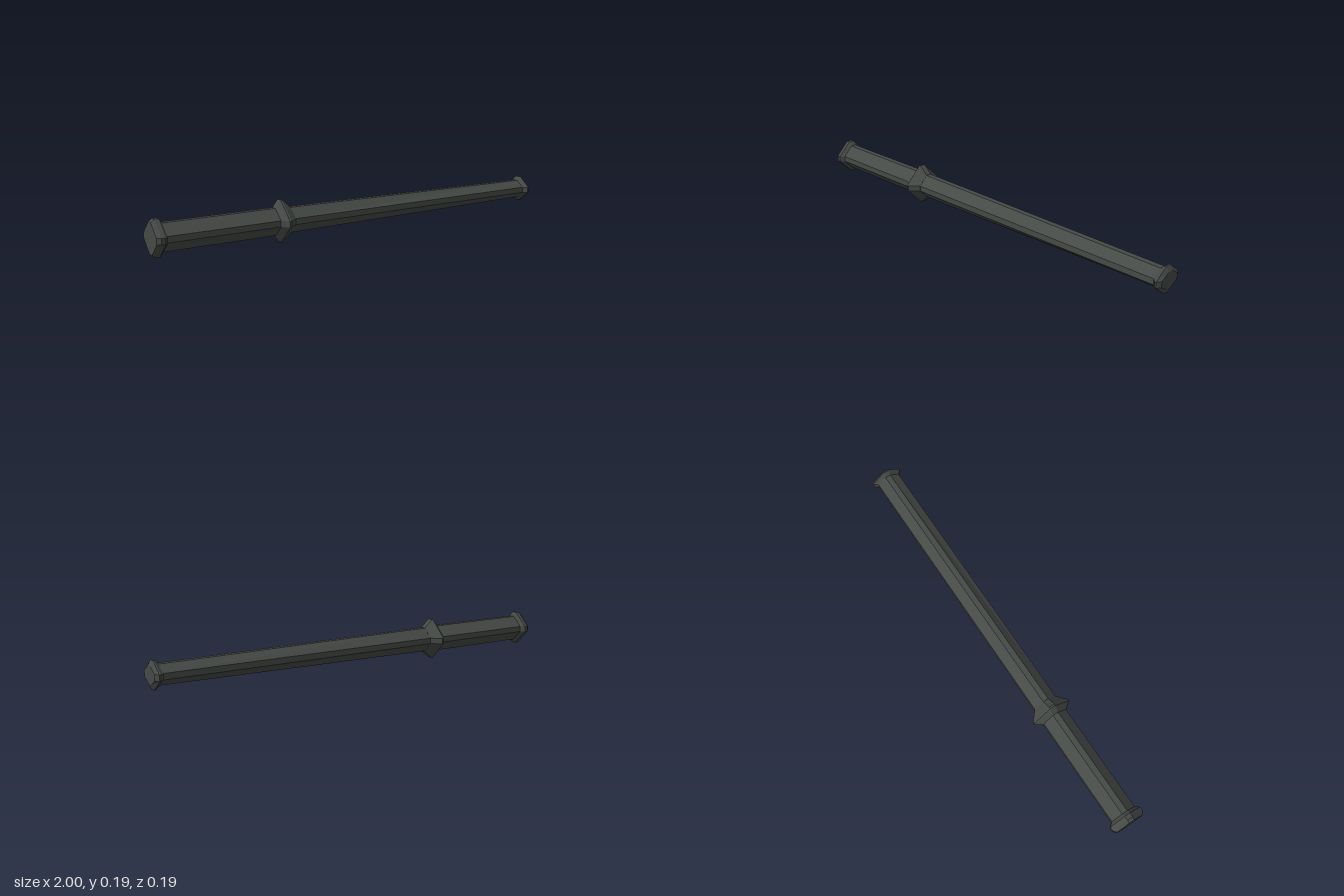
import * as THREE from 'three';

const AXIS_Y = 0.0925; // height of the long axis
const CHAMFER = 0.013; // half width of the cut corners

// Diamond cross-section with cut corners, as [y, z] points
function diamond(ry, rz) {
  const c = CHAMFER;
  return [
    [ry, -c], [ry, c], [c, rz], [-c, rz],
    [-ry, c], [-ry, -c], [-c, -rz], [c, -rz],
  ];
}

// Closed loft along x through sections [x, ry, rz]
function loft(name, sections, material) {
  const rings = sections.map(([x, ry, rz]) =>
    diamond(ry, rz).map(([y, z]) => [x, AXIS_Y + y, z]));
  const first = [sections[0][0], AXIS_Y, 0];
  const last = [sections[sections.length - 1][0], AXIS_Y, 0];
  const endRing = rings[rings.length - 1];
  const pos = [];
  const tri = (a, b, c) => pos.push(...a, ...b, ...c);
  for (let i = 0; i < 8; i++) {
    const j = (i + 1) % 8;
    tri(first, rings[0][j], rings[0][i]);
    tri(last, endRing[i], endRing[j]);
    for (let k = 0; k < rings.length - 1; k++) {
      const a = rings[k], b = rings[k + 1];
      tri(a[i], a[j], b[i]);
      tri(a[j], b[j], b[i]);
    }
  }
  const geometry = new THREE.BufferGeometry();
  geometry.setAttribute('position', new THREE.Float32BufferAttribute(pos, 3));
  geometry.computeVertexNormals();
  const mesh = new THREE.Mesh(geometry, material);
  mesh.name = name;
  return mesh;
}

export function createModel() {
  const group = new THREE.Group();
  group.name = 'baton';
  const metal = new THREE.MeshStandardMaterial({ color: 0x464a47, flatShading: true });

  group.add(
    // Flared end knob
    loft('pommel', [
      [-1, 0.066, 0.066], [-0.985, 0.078, 0.078],
      [-0.967, 0.078, 0.078], [-0.952, 0.059, 0.059],
    ], metal),
    loft('grip', [[-0.955, 0.059, 0.059], [-0.44, 0.059, 0.059]], metal),
    // Pointed collar between grip and shaft
    loft('collar', [
      [-0.445, 0.059, 0.059], [-0.42, 0.0925, 0.0925],
      [-0.412, 0.0925, 0.0925], [-0.37, 0.056, 0.056],
    ], metal),
    // Shaft narrows in height only
    loft('shaft', [[-0.375, 0.055, 0.055], [0.97, 0.043, 0.055]], metal),
    // Small flared tip
    loft('tip', [
      [0.965, 0.043, 0.055], [0.982, 0.06, 0.073],
      [0.988, 0.06, 0.073], [1, 0.037, 0.052],
    ], metal),
  );
  return group;
}
